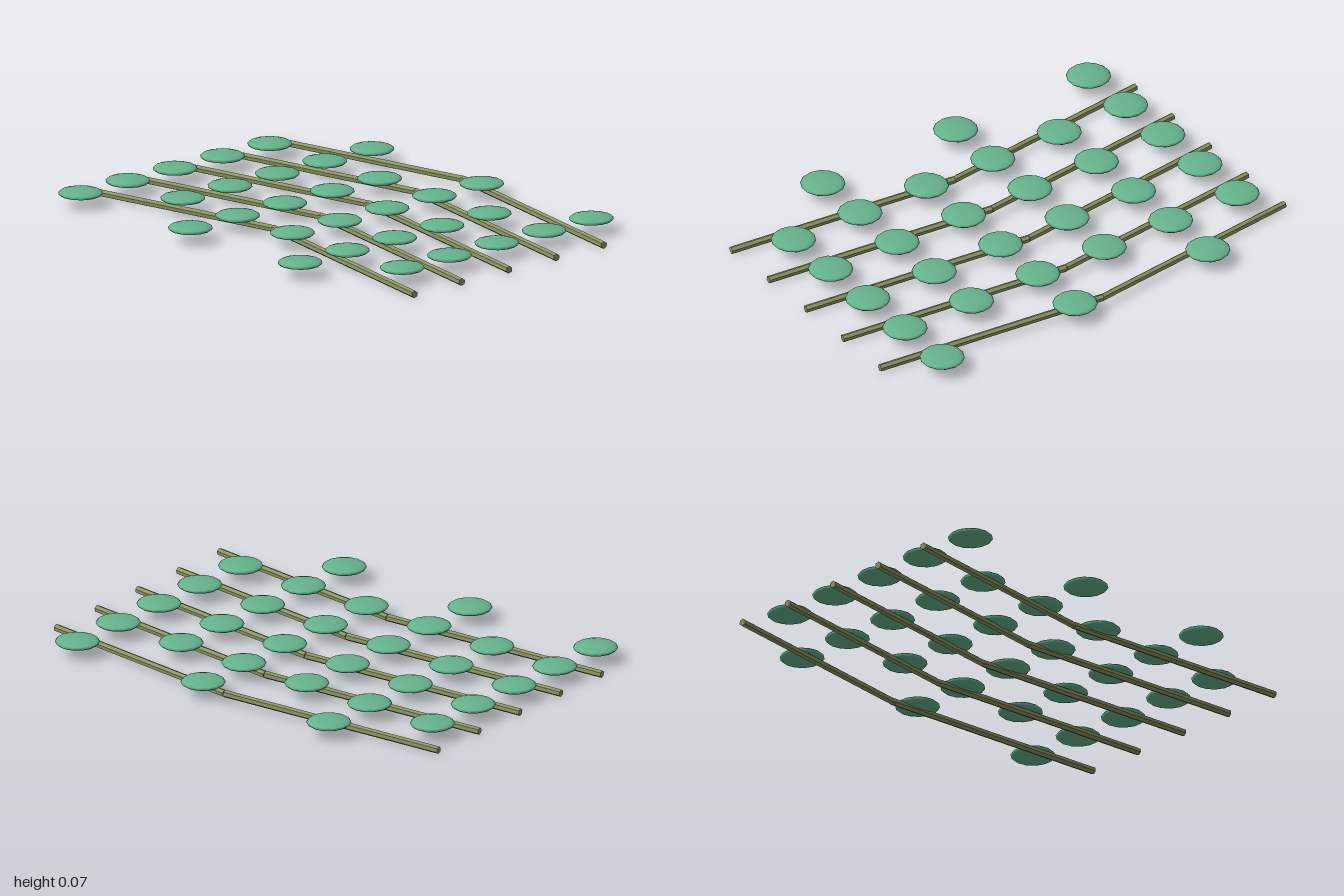
import * as THREE from 'three';

export function createModel() {
  const model = new THREE.Group();
  const padGreen = new THREE.MeshStandardMaterial({ color: 0x66b38d });
  padGreen.name = 'leafGreen';
  const stemOlive = new THREE.MeshStandardMaterial({ color: 0x8a9562 });
  stemOlive.name = 'stemOlive';
  const STEP = 0.2565;
  const STEM_R = 0.0155;

  // Straight capped six-sided rod between two points, with hard edges
  function rod(a, b, name) {
    const dir = b.clone().sub(a);
    const shape = new THREE.CylinderGeometry(STEM_R, STEM_R, dir.length(), 6).toNonIndexed();
    shape.computeVertexNormals();
    const mesh = new THREE.Mesh(shape, stemOlive);
    mesh.position.copy(a).add(b).multiplyScalar(0.5);
    mesh.quaternion.setFromUnitVectors(new THREE.Vector3(0, 1, 0), dir.normalize());
    mesh.name = name;
    return mesh;
  }

  // Five bent stems, each rising to a bend in the middle
  for (let i = -2; i <= 2; i++) {
    const x = i * STEP;
    const stem = new THREE.Group();
    stem.name = 'stem';
    const bend = new THREE.Vector3(x + 0.143, 0.041, 0);
    stem.add(rod(new THREE.Vector3(x, 0.0155, 0.998), bend, 'frontStem'));
    stem.add(rod(bend, new THREE.Vector3(x, 0.0155, -0.998), 'backStem'));
    model.add(stem);
  }

  // Six rows of five floating leaves, every second row shifted sideways
  const leafShape = new THREE.SphereGeometry(1, 14, 8);
  leafShape.scale(0.091, 0.017, 0.091);
  for (let row = 0; row < 6; row++) {
    for (let col = 0; col < 5; col++) {
      const leaf = new THREE.Mesh(leafShape, padGreen);
      leaf.name = 'leaf';
      leaf.position.set((col - 2.5 + (row % 2)) * STEP, 0.055, -0.858 + row * 0.328);
      model.add(leaf);
    }
  }
  return model;
}
